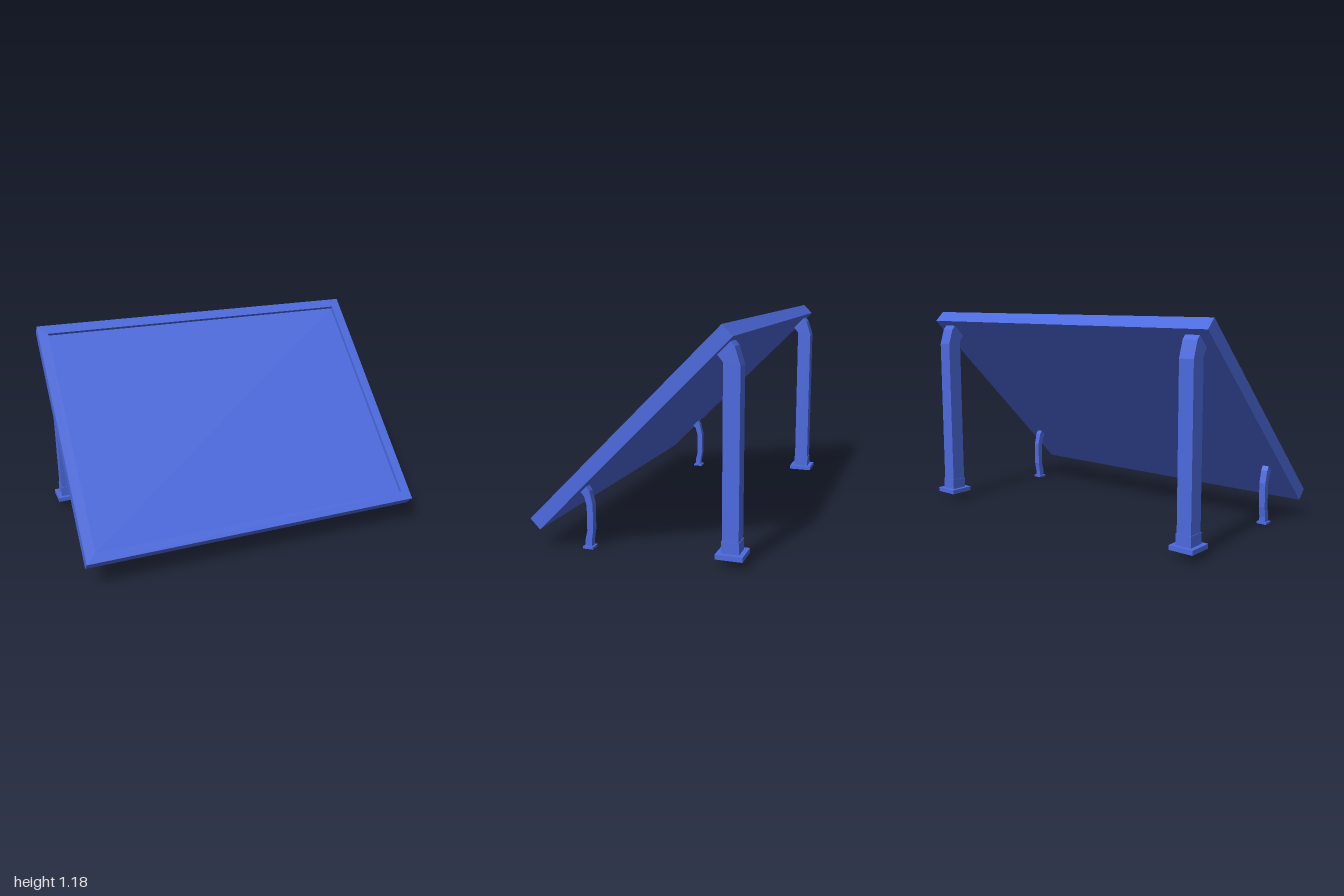
import * as THREE from 'three';

const material = new THREE.MeshStandardMaterial({ color: 0x4c6ade, flatShading: true });

function addMesh(parent, name, geometry, x = 0, y = 0, z = 0) {
  const mesh = new THREE.Mesh(geometry, material);
  mesh.name = name;
  mesh.position.set(x, y, z);
  parent.add(mesh);
  return mesh;
}

// Side outline given as [z, y] points, extruded across x and centred on x = 0
function sideProfile(points, width) {
  const shape = new THREE.Shape(points.map(([z, y]) => new THREE.Vector2(z, y)));
  const geometry = new THREE.ExtrudeGeometry(shape, { depth: width, bevelEnabled: false });
  return geometry.translate(0, 0, -width / 2).rotateY(-Math.PI / 2);
}

function rectangle(Path, w, h) {
  return new Path([[-1, -1], [1, -1], [1, 1], [-1, 1]].map(([x, y]) => new THREE.Vector2(x * w / 2, y * h / 2)));
}

// Tilted board: raised rim around a slightly sunken face
function createBoard() {
  const width = 2, length = 1.444, thickness = 0.076, rim = 0.056, recess = 0.021;
  const innerW = width - 2 * rim, innerL = length - 2 * rim;
  const board = new THREE.Group();
  board.name = 'board';
  const outline = rectangle(THREE.Shape, width, length);
  outline.holes.push(rectangle(THREE.Path, innerW, innerL));
  const frame = new THREE.ExtrudeGeometry(outline, { depth: thickness, bevelEnabled: false });
  addMesh(board, 'frame', frame, 0, 0, -thickness / 2);
  addMesh(board, 'panel', new THREE.BoxGeometry(innerW, innerL, thickness - recess), 0, 0, -recess / 2);
  board.position.set(0, 0.643, 0.023);
  board.rotation.x = -Math.PI / 4;
  return board;
}

// Tall rear post with bent head, socket and foot plate
function createRearLeg() {
  const leg = new THREE.Group();
  leg.name = 'rearLeg';
  addMesh(leg, 'rearPost', sideProfile([
    [-0.45, 0.07], [-0.45, 1.0], [-0.42, 1.036], [-0.484, 1.1],
    [-0.506, 1.075], [-0.534, 0.987], [-0.534, 0.07],
  ], 0.084));
  addMesh(leg, 'rearSocket', new THREE.BoxGeometry(0.091, 0.062, 0.091), 0, 0.101, -0.492);
  addMesh(leg, 'rearFootPlate', new THREE.BoxGeometry(0.14, 0.025, 0.14), 0, 0.06, -0.492);
  return leg;
}

// Short curved front leg with a small foot plate
function createFrontLeg() {
  const leg = new THREE.Group();
  leg.name = 'frontLeg';
  addMesh(leg, 'frontPost', sideProfile([
    [0.294, 0.01], [0.294, 0.04], [0.281, 0.094], [0.281, 0.228], [0.294, 0.278], [0.314, 0.3],
    [0.281, 0.333], [0.264, 0.308], [0.247, 0.238], [0.247, 0.1], [0.257, 0.04], [0.257, 0.01],
  ], 0.037));
  addMesh(leg, 'frontFootPlate', new THREE.BoxGeometry(0.058, 0.012, 0.056), 0, 0.006, 0.275);
  return leg;
}

export function createModel() {
  const model = new THREE.Group();
  model.name = 'tiltedBoard';
  model.add(createBoard());
  for (const side of [-1, 1]) {
    for (const leg of [createRearLeg(), createFrontLeg()]) {
      leg.position.x = side * 0.896;
      model.add(leg);
    }
  }
  return model;
}
